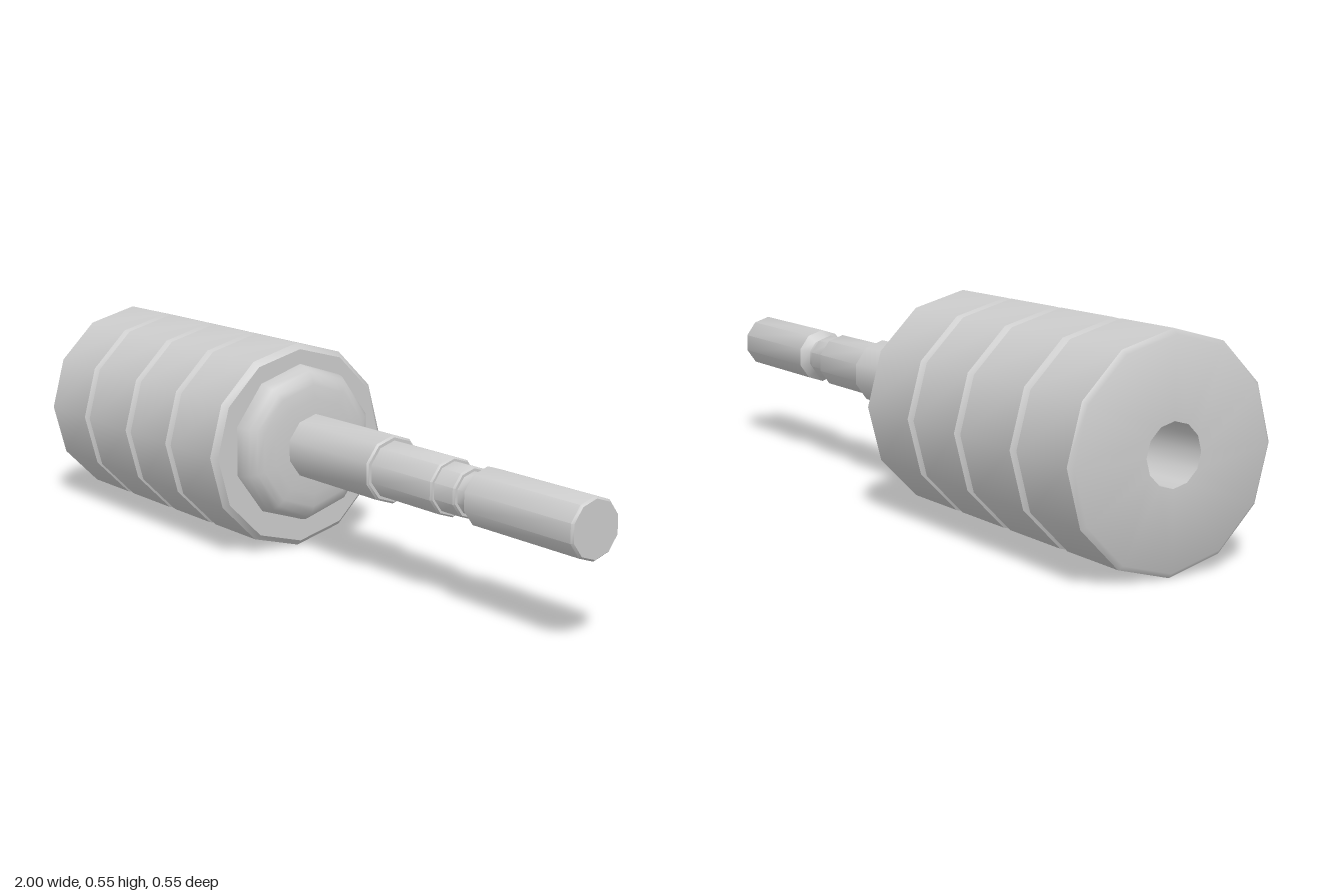
import * as THREE from 'three';
import { toCreasedNormals } from 'three/addons/utils/BufferGeometryUtils.js';

const material = new THREE.MeshStandardMaterial({ color: 0xcccccc });

// Turned part lying along x; profile is a list of [x, radius]
function turned(name, profile, sides, axisY) {
  const points = profile.map(([x, r]) => new THREE.Vector2(r, x));
  const geometry = new THREE.LatheGeometry(points, sides, Math.PI / 2);
  geometry.rotateZ(-Math.PI / 2);
  const mesh = new THREE.Mesh(toCreasedNormals(geometry, 0.72), material);
  mesh.name = name;
  mesh.position.y = axisY;
  return mesh;
}

export function createModel() {
  const group = new THREE.Group();
  group.name = 'grippedTool';

  // Thick grip: blind hole in the end, chamfered rims, three grooves
  const R = 0.277;
  const grip = [[-0.7, 0], [-0.7, 0.075], [-1, 0.075], [-1, 0.265], [-0.99, R]];
  for (const x of [-0.787, -0.555, -0.344]) {
    grip.push([x - 0.014, R], [x - 0.006, R - 0.013], [x + 0.006, R - 0.013], [x + 0.014, R]);
  }
  grip.push([-0.135, R], [-0.12, 0.262], [-0.12, 0]);
  group.add(turned('grip', grip, 12, 0.278));

  // Rounded collar in front of the grip
  const collar = [
    [-0.14, 0], [-0.14, 0.212], [-0.118, 0.212], [-0.098, 0.208], [-0.08, 0.199],
    [-0.066, 0.184], [-0.059, 0.165], [-0.054, 0.13], [-0.05, 0.085], [-0.05, 0],
  ];
  group.add(turned('collar', collar, 10, 0.2885));

  // Stepped shaft with a neck and a thicker tip
  const shaft = [
    [-0.1, 0], [-0.1, 0.088], [0.28, 0.088], [0.285, 0.083], [0.285, 0.075],
    [0.512, 0.075], [0.517, 0.071], [0.517, 0.065], [0.585, 0.065], [0.59, 0.061],
    [0.59, 0.054], [0.617, 0.054], [0.638, 0.075], [0.994, 0.075], [1, 0.07], [1, 0],
  ];
  group.add(turned('shaft', shaft, 10, 0.2885));

  return group;
}
